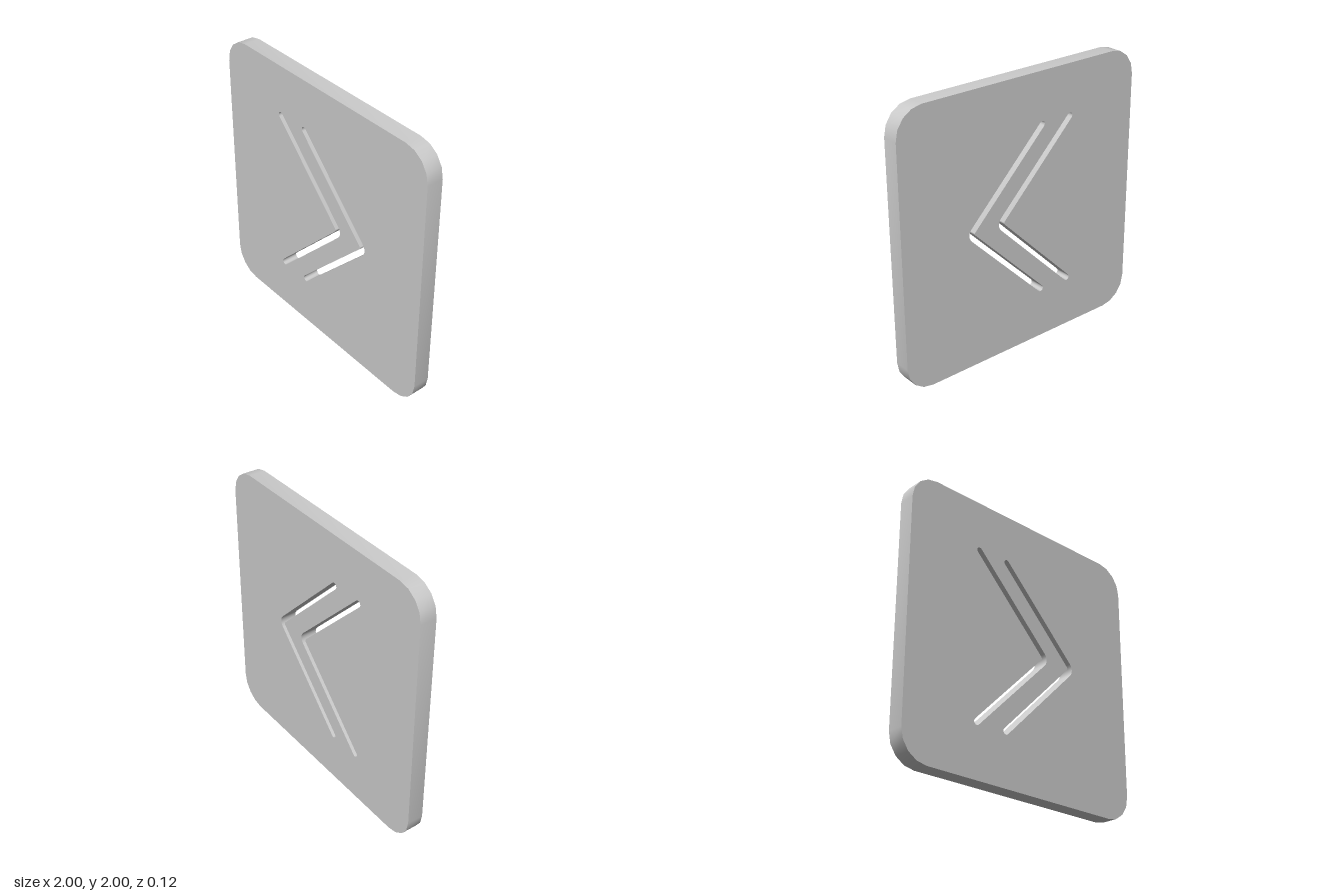
import * as THREE from 'three';
import { toCreasedNormals } from 'three/addons/utils/BufferGeometryUtils.js';

const THICKNESS = 0.12;

// Points along an arc, angles in degrees
function arc(cx, cy, radius, from, to, segments) {
  return Array.from({ length: segments + 1 }, (_, i) => {
    const a = THREE.MathUtils.degToRad(from + ((to - from) * i) / segments);
    return new THREE.Vector2(cx + radius * Math.cos(a), cy + radius * Math.sin(a));
  });
}

// Square outline with rounded corners
function plateOutline(half, radius) {
  const c = half - radius;
  return [[c, c], [-c, c], [-c, -c], [c, -c]].flatMap(([x, y], i) =>
    arc(x, y + half, radius, i * 90, i * 90 + 90, 4));
}

// Right-pointing chevron slot with round ends and a rounded bend
function chevronOutline(endX) {
  const midY = 1.007, reach = 0.621, halfWidth = 0.023, bend = 0.04;
  const bendX = endX + reach - bend * Math.SQRT2;
  return [
    ...arc(endX, midY + reach, halfWidth, 45, 225, 8),
    ...arc(bendX, midY, bend - halfWidth, 45, -45, 6),
    ...arc(endX, midY - reach, halfWidth, 135, 315, 8),
    ...arc(bendX, midY, bend + halfWidth, -45, 45, 6),
  ];
}

export function createModel() {
  const group = new THREE.Group();
  group.name = 'chevronPanel';

  // Plate pierced by two parallel chevrons
  const shape = new THREE.Shape(plateOutline(1, 0.2));
  for (const endX of [-0.412, -0.162]) shape.holes.push(new THREE.Path(chevronOutline(endX)));

  const geometry = new THREE.ExtrudeGeometry(shape, { depth: THICKNESS, bevelEnabled: false });
  geometry.translate(0, 0, -THICKNESS / 2);

  const plate = new THREE.Mesh(
    toCreasedNormals(geometry, 0.7),
    new THREE.MeshStandardMaterial({ color: 0xcccccc }),
  );
  plate.name = 'plate';
  group.add(plate);
  return group;
}
